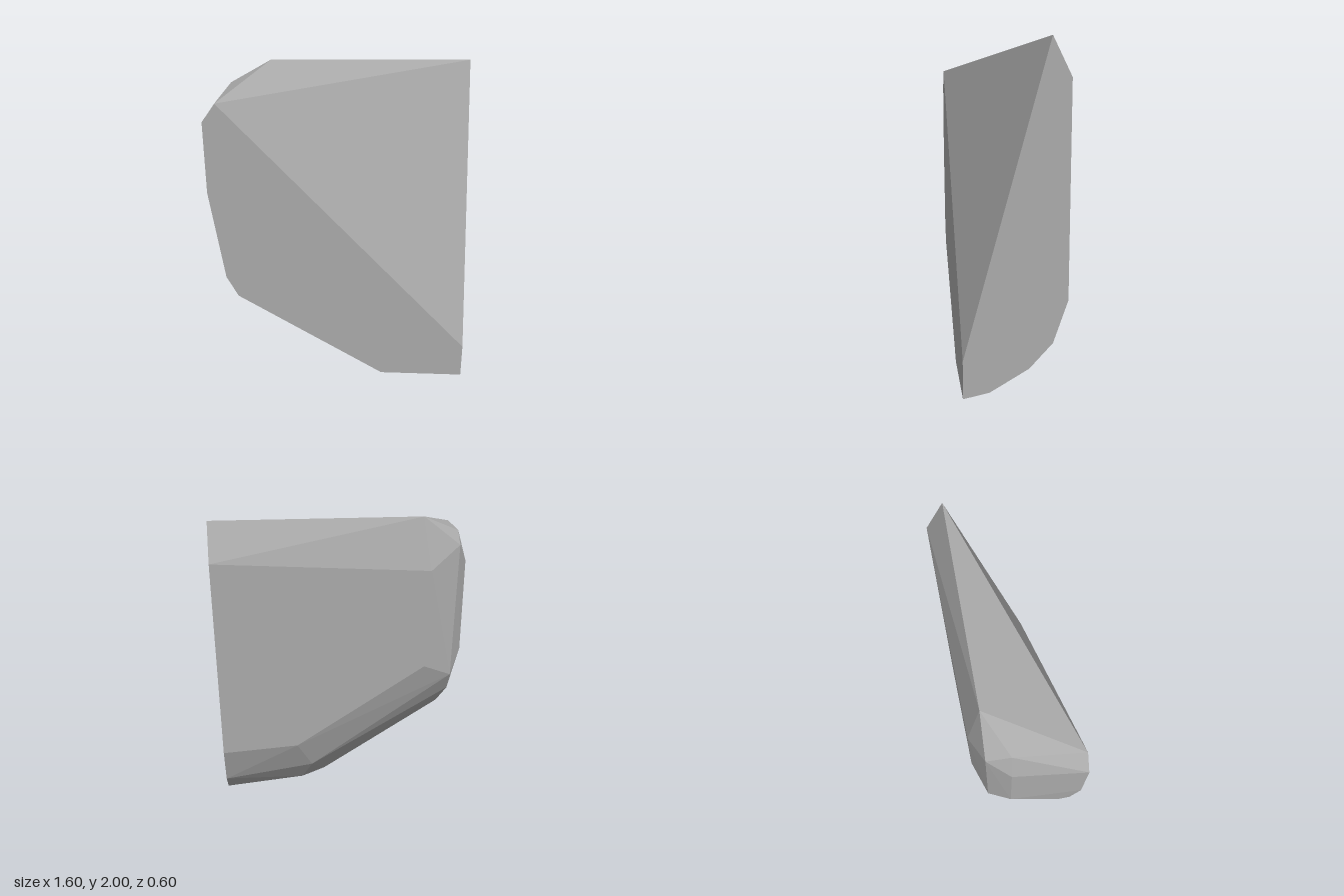
import * as THREE from 'three';
import { ConvexGeometry } from 'three/addons/geometries/ConvexGeometry.js';

// Corners of the boulder slab, grouped by region
const frontRim = [
  [-0.72, 1.845, 0.3], [-0.8, 1.735, 0.3], [-0.8, 1.3, 0.3], [-0.72, 0.73, 0.3],
  [-0.65, 0.595, 0.3], [0.27, 0.015, 0.3], [0.8, 0, 0.3], [0.8, 0.22, 0.3],
];
const flatSide = [
  [0.8, 0.03, 0.15], [0.8, 0.16, -0.075], [0.8, 0.305, -0.21],
  [0.8, 0.55, -0.295], [0.8, 1.78, -0.3], [0.8, 2, -0.19],
];
const topBevel = [
  [-0.44, 1.995, -0.21], [-0.68, 1.878, -0.09], [-0.66, 1.824, -0.225],
  [-0.48, 1.692, -0.292], [-0.735, 1.69, -0.1],
];
const sideBevel = [
  [-0.462, 1.08, -0.292], [-0.647, 0.984, -0.225], [-0.735, 1.108, -0.1],
  [-0.755, 0.92, 0.2], [-0.655, 0.85, -0.14], [-0.645, 0.65, 0.075],
];
const underside = [
  [0.335, 0.573, -0.295], [0.238, 0.37, -0.2], [0.295, 0.2, -0.075],
  [0.138, 0.21, 0], [0.349, 0.045, 0.154],
];

export function createModel() {
  const group = new THREE.Group();
  group.name = 'rock';

  const stone = new THREE.MeshStandardMaterial({ color: 0xaaaaaa });
  stone.name = 'grey stone';

  // Faceted rock body wrapped around the corners
  const points = [...frontRim, ...flatSide, ...topBevel, ...sideBevel, ...underside]
    .map((p) => new THREE.Vector3(...p));
  const body = new THREE.Mesh(new ConvexGeometry(points), stone);
  body.name = 'rockBody';
  group.add(body);

  return group;
}
